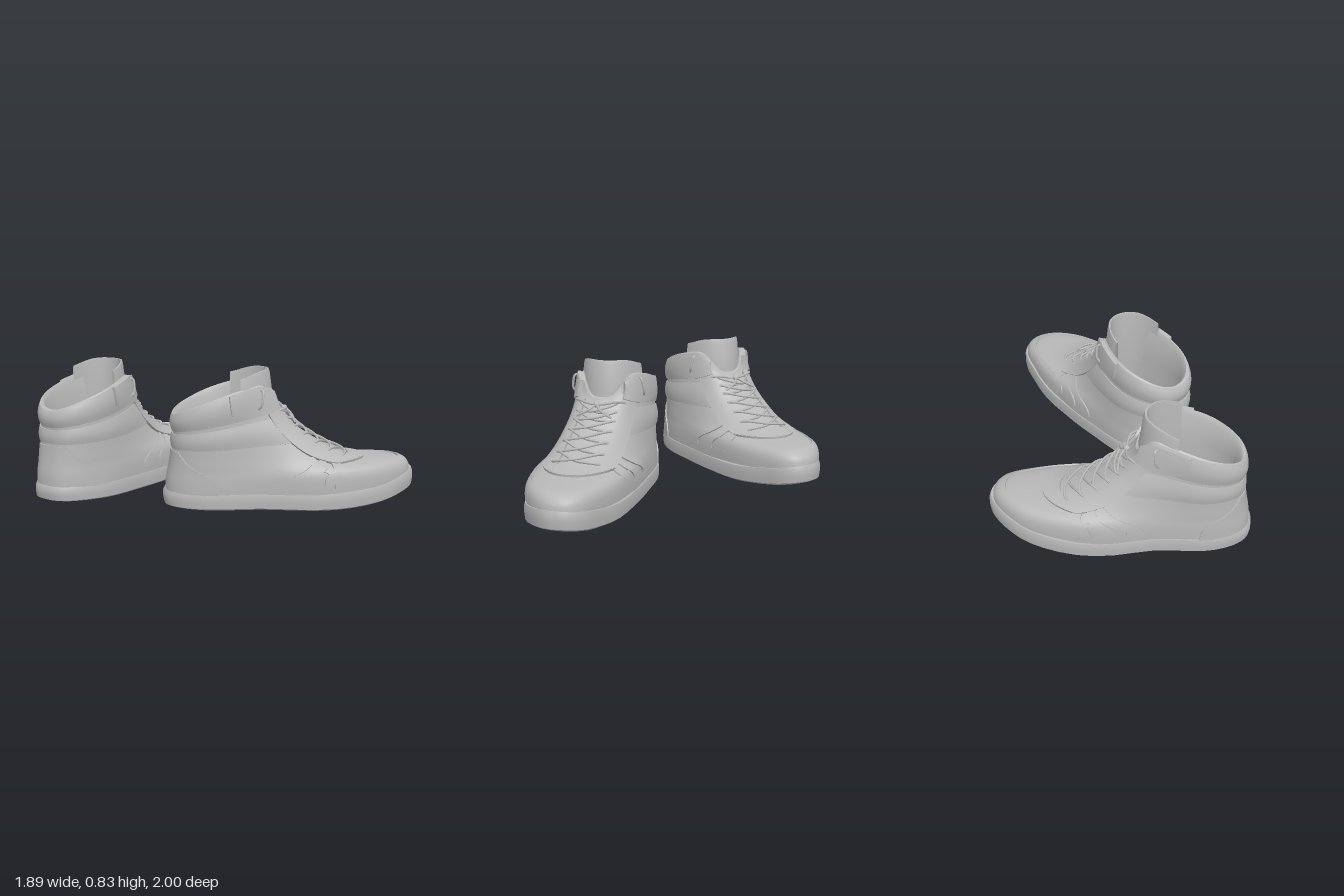
import * as THREE from 'three';
import { toCreasedNormals } from 'three/addons/utils/BufferGeometryUtils.js';

const PI = Math.PI;
const { lerp, smoothstep, clamp } = THREE.MathUtils;
const bell = (x, centre, width) => Math.exp(-(((x - centre) / width) ** 2));

// Upper, level by level: heel x, front x, half width, heel y, front y, side lift, heel roundness
const LEVELS = [
  [0.02, 1.545, 0.283, 0.07, 0.15, 0, 0.72],
  [0.022, 1.54, 0.284, 0.14, 0.215, 0, 0.72],
  [0.03, 1.49, 0.28, 0.19, 0.255, 0, 0.72],
  [0.037, 1.38, 0.272, 0.225, 0.268, 0, 0.72],
  [0.043, 1.2, 0.262, 0.26, 0.28, 0, 0.72],
  [0.05, 1.05, 0.252, 0.305, 0.325, 0, 0.72],
  [0.055, 0.92, 0.243, 0.355, 0.395, 0.015, 0.73],
  [0.06, 0.82, 0.235, 0.405, 0.465, 0.04, 0.74],
  [0.06, 0.76, 0.227, 0.455, 0.525, 0.07, 0.75],
  [0.06, 0.715, 0.222, 0.505, 0.57, 0.11, 0.76],
  [0.065, 0.695, 0.217, 0.555, 0.605, 0.15, 0.77],
];
// Collar lip, lining and footbed
const LINING = [
  LEVELS[10],
  [0.08, 0.68, 0.209, 0.565, 0.61, 0.15, 0.77],
  [0.1, 0.665, 0.194, 0.545, 0.59, 0.135, 0.77],
  [0.11, 0.66, 0.192, 0.44, 0.46, 0.03, 0.77],
  [0.11, 0.665, 0.195, 0.22, 0.25, 0, 0.77],
  [0.37, 0.38, 0.004, 0.2, 0.2, 0, 0.8],
];

// Point on a foot-shaped loop; a = 0 at the heel, PI at the toe
function loopPoint(a, [x0, x1, w, y0, y1, lift, e]) {
  const th = a - 0.35 * Math.sin(2 * a);
  const s = (1 - Math.cos(th)) / 2, sn = Math.sin(th);
  const x = lerp(x0, x1, s);
  const bend = -0.012 * smoothstep(x, 0.1, 0.4) + 0.055 * smoothstep(x, 0.45, 1) - 0.038 * smoothstep(x, 1.3, 1.58);
  const waist = 1 + 0.04 * bell(x, 0.25, 0.15) - 0.07 * bell(x, 0.56, 0.18) + 0.04 * bell(x, 1.15, 0.3);
  const z = Math.sign(sn) * Math.pow(Math.abs(sn), lerp(e, 0.88, s)) * w * waist + bend;
  const fold = a > PI ? 2 * PI - a : Math.abs(a);
  const y = lerp(y0, y1, s * s) + lift * bell(fold, 1.95, fold > 1.95 ? 0.4 : 0.88);
  return new THREE.Vector3(x, y, z);
}

// Smoothly blended level of a table
function levelAt(table, t) {
  const n = table.length - 1;
  const i = clamp(Math.floor(t), 0, n - 1), f = t - i;
  const row = (k) => table[clamp(k, 0, n)];
  return row(i).map((b, k) => {
    const a = row(i - 1)[k], c = row(i + 1)[k], d = row(i + 2)[k];
    return b + 0.5 * f * (c - a + f * (2 * a - 5 * b + 4 * c - d + f * (3 * (b - c) + d - a)));
  });
}

const surface = (a, t) => loopPoint(a, levelAt(LEVELS, clamp(t, 0, 10)));

// Point lifted off the upper
function lifted(a, t, off) {
  const h = 0.03, tt = clamp(t, h, 10 - h);
  const da = surface(a + h, tt).sub(surface(a - h, tt));
  const dt = surface(a, tt + h).sub(surface(a, tt - h));
  return surface(a, t).addScaledVector(da.cross(dt).normalize(), off);
}

// Sheet of quads from f(column, row)
function grid(f, nu, nv, side, crease = 0.7) {
  const pos = [], idx = [];
  for (let j = 0; j <= nv; j++) for (let i = 0; i <= nu; i++) {
    const p = f(i, j);
    pos.push(p.x, p.y, p.z * side);
  }
  for (let j = 0; j < nv; j++) for (let i = 0; i < nu; i++) {
    const a = j * (nu + 1) + i, b = a + 1, c = b + nu + 1, d = a + nu + 1;
    if (side > 0) idx.push(a, b, c, a, c, d);
    else idx.push(a, c, b, a, d, c);
  }
  const g = new THREE.BufferGeometry();
  g.setAttribute('position', new THREE.Float32BufferAttribute(pos, 3));
  g.setIndex(idx);
  return toCreasedNormals(g, crease);
}

function createShoe(side, material) {
  const shoe = new THREE.Group();
  const add = (name, geometry) => {
    const m = new THREE.Mesh(geometry, material);
    m.name = name;
    shoe.add(m);
  };
  const around = (i, n) => (i / n) * 2 * PI;

  // Raised panel; map(p, q) gives [angle, level], its border drops to the upper
  const panel = (name, map, off, nu, nv, puff = 0) => add(name, grid((i, j) => {
    const p = clamp((i - 1) / (nu - 2), 0, 1), q = clamp((j - 1) / (nv - 2), 0, 1);
    const edge = i === 0 || j === 0 || i === nu || j === nv;
    const [a, t] = map(p, q);
    return lifted(a, t, edge ? -0.004 : off + puff * Math.sin(PI * q));
  }, nu, nv, side));

  const cord = (name, points, radius = 0.008) => {
    const pts = points.map(([a, t, off]) => {
      const p = lifted(a, t, off);
      p.z *= side;
      return p;
    });
    add(name, new THREE.TubeGeometry(new THREE.CatmullRomCurve3(pts), 14, radius, 6));
  };

  // Sole with raised toe
  const soleRows = [[0, 0], [0.5, 0], [0.95, 0], [0.992, 0.1], [1, 0.45], [0.998, 0.8], [0.985, 1], [0.9, 1]];
  add('sole', grid((i, j) => {
    const [k, h] = soleRows[j];
    const p = loopPoint(around(i, 72), [-0.003, 1.58, 0.294, 0, 0, 0, 0.72]);
    p.set(lerp(0.8, p.x, k), 0, p.z * k);
    const bottom = 0.075 * clamp((p.x - 0.95) / 0.62, 0, 1) ** 2;
    const top = 0.095 + 0.095 * clamp((p.x - 0.9) / 0.67, 0, 1) ** 2;
    p.y = lerp(bottom, top, h);
    return p;
  }, 72, soleRows.length - 1, side));

  // Upper and lining
  add('upper', grid((i, j) => surface(around(i, 72), j / 2), 72, 20, side, 1.2));
  add('collarLining', grid((i, j) => loopPoint(around(i, 72), LINING[j]), 72, LINING.length - 1, side, 1));

  // Tongue
  const tongueRows = [[0.025, 0.5], [0.02, 0.62], [-0.006, 0.81], [-0.013, 0.828], [-0.024, 0.828], [-0.028, 0.81], [-0.018, 0.45]];
  add('tongue', grid((i, j) => {
    const a = lerp(1.4, -1.4, i / 22), [r, y] = tongueRows[j];
    const drop = y > 0.8 ? 0.05 * Math.sin(a) ** 6 : 0;
    return new THREE.Vector3(0.4 + (0.26 + r) * Math.cos(a), y - drop, (0.19 + 0.6 * r) * Math.sin(a));
  }, 22, tongueRows.length - 1, side));

  // Heel counter and padded collar bands
  panel('heelCounter', (p, q) => [lerp(-1, 1, p) * lerp(1.15, 0.7, q * q), lerp(0.3, 5.7, q)], 0.008, 24, 10);
  panel('upperCollarBand', (p, q) => [lerp(-2.1, 2.1, p), lerp(8, 10, q)], 0.007, 44, 8, 0.012);
  panel('lowerCollarBand', (p, q) => [lerp(-2.1, 2.1, p), lerp(6, 7.7, q)], 0.007, 44, 8, 0.008);

  // Toe guard and front end of the lacing panel
  panel('toeGuard', (p, q) => [PI + lerp(-1.4, 1.4, p),
    lerp(0.5, 2.2 + 0.7 * Math.abs(2 * p - 1) ** 3, q)], 0.009, 34, 7);
  panel('vampEdge', (p, q) => [PI + lerp(-1.15, 1.15, p), lerp(3.75, 4.4, q)], 0.015, 24, 5);

  for (const s of [1, -1]) {
    const angle = (a) => (s > 0 ? a : 2 * PI - a);
    // Panels keep their facing by running the angle upward on both sides
    const sidePanel = (name, map, ...rest) => panel(name, (p, q) => {
      const [a, t] = map(s > 0 ? p : 1 - p, q);
      return [angle(a), t];
    }, ...rest);

    sidePanel('eyestay', (p, q) => [PI - lerp(1.15, 0.68, p) - 0.05 * q, lerp(3.8, 9, q)], 0.016, 8, 16);
    sidePanel('ankleStrap', (p, q) => [lerp(1.55, 2.2, p),
      lerp(8 + 0.5 * (2 * p - 1) ** 2, 10, q)], 0.028, 10, 8, 0.006);
    for (let k = 0; k < 3; k++) {
      sidePanel('sideStripe', (p, q) => [1.45 + 0.12 * k + 0.075 * p + 0.5 * q * q, lerp(0.9, 4.9, q)], 0.01, 5, 12);
    }
    // Lace loop on the strap and lace end leading to it
    cord('strapLoop', [[angle(1.84), 8.5, 0.026], [angle(1.88), 8.7, 0.046], [angle(1.92), 9.2, 0.05],
      [angle(1.94), 9.6, 0.044], [angle(1.93), 9.7, 0.026]]);
    cord('laceEnd', [[PI, 8.7, 0.03], [angle(PI - 0.5), 8.7, 0.035], [angle(2.35), 8.5, 0.035], [angle(2.15), 8.2, 0.02]]);
    cord('looseLace', [[PI, 8.7, 0.035], [angle(PI - 0.35), 8, 0.035], [angle(PI - 0.75), 7.3, 0.03]]);

    // Criss-cross laces
    for (let k = 0; k < 6; k++) {
      const t = 4.4 + k * 0.66;
      cord('lace', [[angle(PI - 0.85), t, 0.014], [angle(PI - 0.72), t + 0.05, 0.026], [PI, t + 0.36, 0.02 + 0.006 * s],
        [angle(PI + 0.72), t + 0.66, 0.026], [angle(PI + 0.85), t + 0.71, 0.014]]);
    }
  }

  // Knot
  const knot = new THREE.SphereGeometry(0.02, 12, 8);
  const k = lifted(PI, 8.7, 0.03);
  knot.translate(k.x, k.y, k.z * side);
  add('laceKnot', knot);
  return shoe;
}

export function createModel() {
  const model = new THREE.Group();
  const material = new THREE.MeshStandardMaterial({ color: 0xb8b8b8, side: THREE.DoubleSide });
  material.name = 'light grey';

  const right = createShoe(1, material);
  right.name = 'rightShoe';
  right.position.set(-0.4, 0, 0.037);
  right.rotation.y = -0.5725;

  const left = createShoe(-1, material);
  left.name = 'leftShoe';
  left.position.set(-0.93, 0, -0.48);
  left.rotation.y = 0.183;

  model.add(right, left);
  return model;
}
